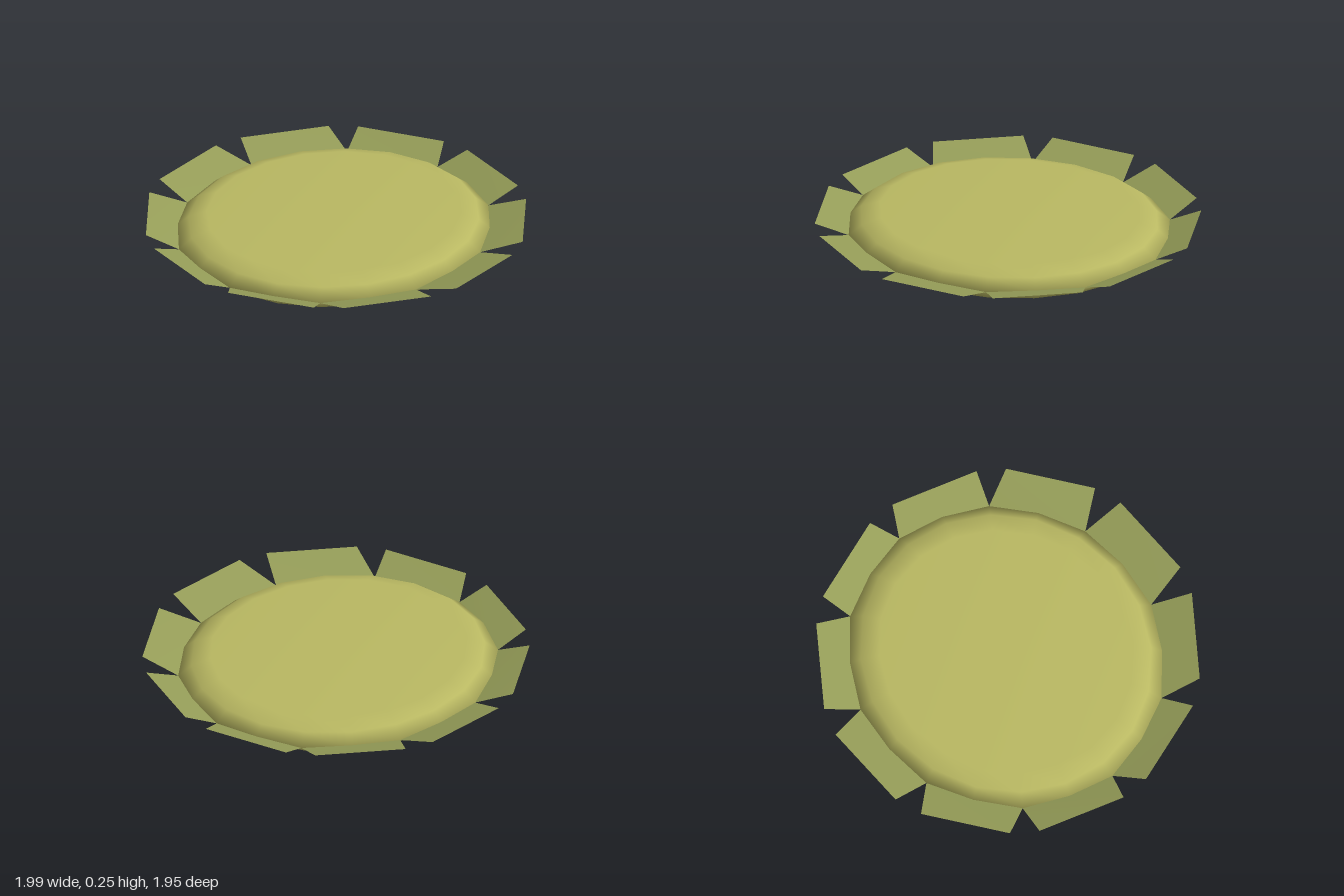
import * as THREE from 'three';

const SIDES = 20, PETALS = 10;
const TILT = THREE.MathUtils.degToRad(2.6); // slight turn about y
const SQUASH = 0.936;                       // the disc is a little narrower in depth
const RIM = 0.85, RIM_Y = 0.165, CENTRE_Z = -0.015;
const TIP_R = 0.97, TIP_Y = 0.23, TIP_HALF = 0.235;

// point on the faceted rim of the disc
function rimPoint(index) {
  const a = (index / SIDES) * Math.PI * 2;
  const p = new THREE.Vector3(RIM * Math.cos(a), RIM_Y, -RIM * SQUASH * Math.sin(a));
  p.applyAxisAngle(new THREE.Vector3(0, 1, 0), -TILT);
  p.z += CENTRE_Z;
  return p;
}

// flat petal from two rim corners out to a slightly narrower raised tip
function petalGeometry(k) {
  const a = THREE.MathUtils.degToRad(16.2 + k * 360 / PETALS);
  const tip = side => new THREE.Vector3(
    TIP_R * Math.cos(a) - side * TIP_HALF * Math.sin(a),
    TIP_Y,
    -TIP_R * Math.sin(a) - side * TIP_HALF * Math.cos(a));
  const corners = [rimPoint(2 * k), tip(-1), tip(1), rimPoint(2 * k + 2)];
  const g = new THREE.BufferGeometry().setFromPoints(corners);
  g.setIndex([0, 1, 2, 0, 2, 3]);
  g.computeVertexNormals();
  return g;
}

export function createModel() {
  const model = new THREE.Group();
  model.name = 'flowerHead';

  // rounded disc with a shallow cone underneath and a flat top
  const profile = [[0, 0], [0.56, 0.05], [0.77, 0.1], [RIM, RIM_Y], [0.78, 0.22], [0.68, 0.255], [0, 0.255]]
    .map(([r, y]) => new THREE.Vector2(r, y));
  const disc = new THREE.Mesh(
    new THREE.LatheGeometry(profile, SIDES),
    new THREE.MeshStandardMaterial({ color: 0xb9b862 }));
  disc.name = 'disc';
  disc.scale.z = SQUASH;
  disc.rotation.y = -TILT;
  disc.position.z = CENTRE_Z;
  model.add(disc);

  // ring of thin petals
  const petals = new THREE.Group();
  petals.name = 'petals';
  const petalMaterial = new THREE.MeshStandardMaterial({ color: 0x959d58, side: THREE.DoubleSide });
  for (let k = 0; k < PETALS; k++) {
    const petal = new THREE.Mesh(petalGeometry(k), petalMaterial);
    petal.name = 'petal';
    petals.add(petal);
  }
  model.add(petals);

  return model;
}
